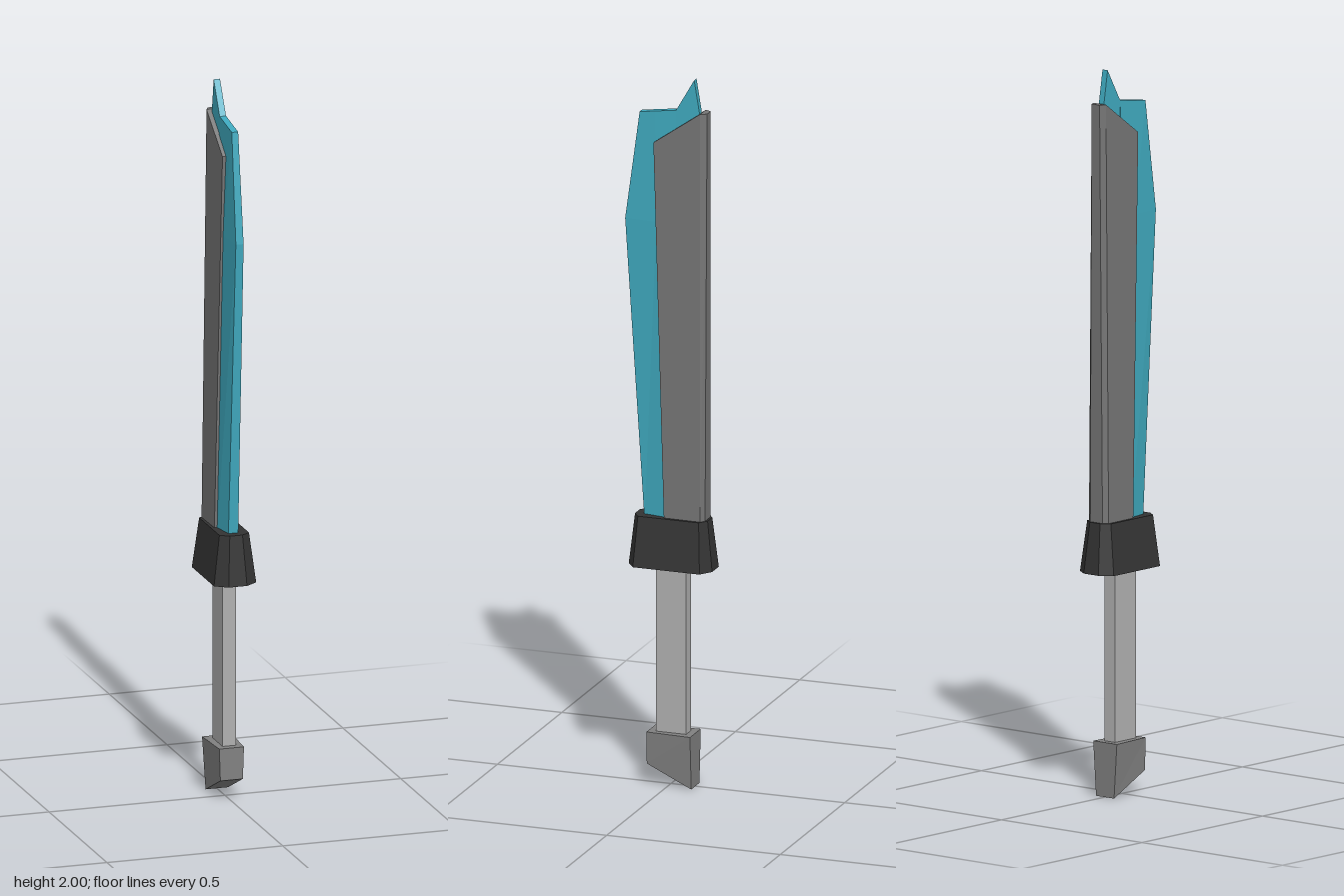
import * as THREE from 'three';

// Each ring lists the +x half of a cross-section, front to back, as [x, y, z].
// The -x half is mirrored, neighbouring rings are joined and both ends capped.
function loft(name, color, halfRings) {
  const rings = halfRings.map(half => [
    ...half, ...half.slice().reverse().map(([x, y, z]) => [-x, y, z])]);
  const h = halfRings[0].length, n = h * 2, pos = [];
  const quad = (a, b, c, d) => pos.push(...a, ...b, ...c, ...a, ...c, ...d);
  for (let i = 0; i < rings.length - 1; i++) {
    const lo = rings[i], hi = rings[i + 1];
    for (let j = 0; j < n; j++) {
      const k = (j + 1) % n;
      quad(lo[j], lo[k], hi[k], hi[j]);
    }
  }
  const bottom = rings[0], top = rings[rings.length - 1];
  for (let j = 0; j < h - 1; j++) {
    quad(top[j], top[j + 1], top[n - 2 - j], top[n - 1 - j]);
    quad(bottom[n - 1 - j], bottom[n - 2 - j], bottom[j + 1], bottom[j]);
  }
  const geo = new THREE.BufferGeometry();
  geo.setAttribute('position', new THREE.Float32BufferAttribute(pos, 3));
  geo.computeVertexNormals();
  return finish(name, color, geo);
}

function finish(name, color, geo) {
  const mesh = new THREE.Mesh(geo, new THREE.MeshStandardMaterial({ color, flatShading: true }));
  mesh.name = name;
  return mesh;
}

export function createModel() {
  const group = new THREE.Group();
  group.name = 'sword';
  const TEAL = 0x3fa9be, STEEL = 0x757575, BLACK = 0x333333, GRIP = 0xb0b0b0, POMMEL = 0x808080;

  // Pommel with a slanted underside
  group.add(loft('pommel', POMMEL, [
    [[0.032, 0.06, 0.058], [0.032, 0, -0.07]],
    [[0.035, 0.15, 0.058], [0.042, 0.15, -0.07]],
  ]));

  // Grip
  const grip = finish('grip', GRIP, new THREE.BoxGeometry(0.038, 0.5, 0.087));
  grip.position.set(0, 0.39, -0.007);
  group.add(grip);

  // Guard: tapered, stretched octagon
  const octagon = (y, x, xEnd, front, back, cut) => [
    [xEnd, y, front], [x, y, front - cut], [x, y, back + cut], [xEnd, y, back]];
  group.add(loft('guard', BLACK, [
    octagon(0.62, 0.06, 0.026, 0.112, -0.128, 0.024),
    octagon(0.76, 0.042, 0.018, 0.097, -0.112, 0.017),
  ]));

  // Dark spine with chamfered back and sloping top
  group.add(loft('bladeSpine', STEEL, [
    [[0.033, 0.74, 0.008], [0.035, 0.74, -0.096], [0.022, 0.74, -0.106]],
    [[0.021, 1.815, 0.043], [0.022, 1.91, -0.092], [0.014, 1.91, -0.109]],
  ]));

  // Coloured cutting edge, thinning towards the front and the tip
  group.add(loft('cuttingEdge', TEAL, [
    [[0.014, 0.74, 0.071], [0.025, 0.74, 0.008], [0.025, 0.74, -0.018]],
    [[0.011, 1.59, 0.128], [0.017, 1.59, 0.036], [0.017, 1.59, -0.018]],
    [[0.009, 1.895, 0.087], [0.009, 1.901, 0.043], [0.009, 1.91, -0.018]],
  ]));

  // Pointed tip rising behind the notch; shape is drawn as (-z, y)
  const outline = [[0.018, 1.8], [0.085, 1.8], [0.085, 1.91], [0.07, 2], [0.018, 1.91]];
  const tip = new THREE.ExtrudeGeometry(
    new THREE.Shape(outline.map(([a, b]) => new THREE.Vector2(a, b))),
    { depth: 0.018, bevelEnabled: false });
  tip.translate(0, 0, -0.009).rotateY(Math.PI / 2);
  group.add(finish('bladeTip', TEAL, tip));

  return group;
}
